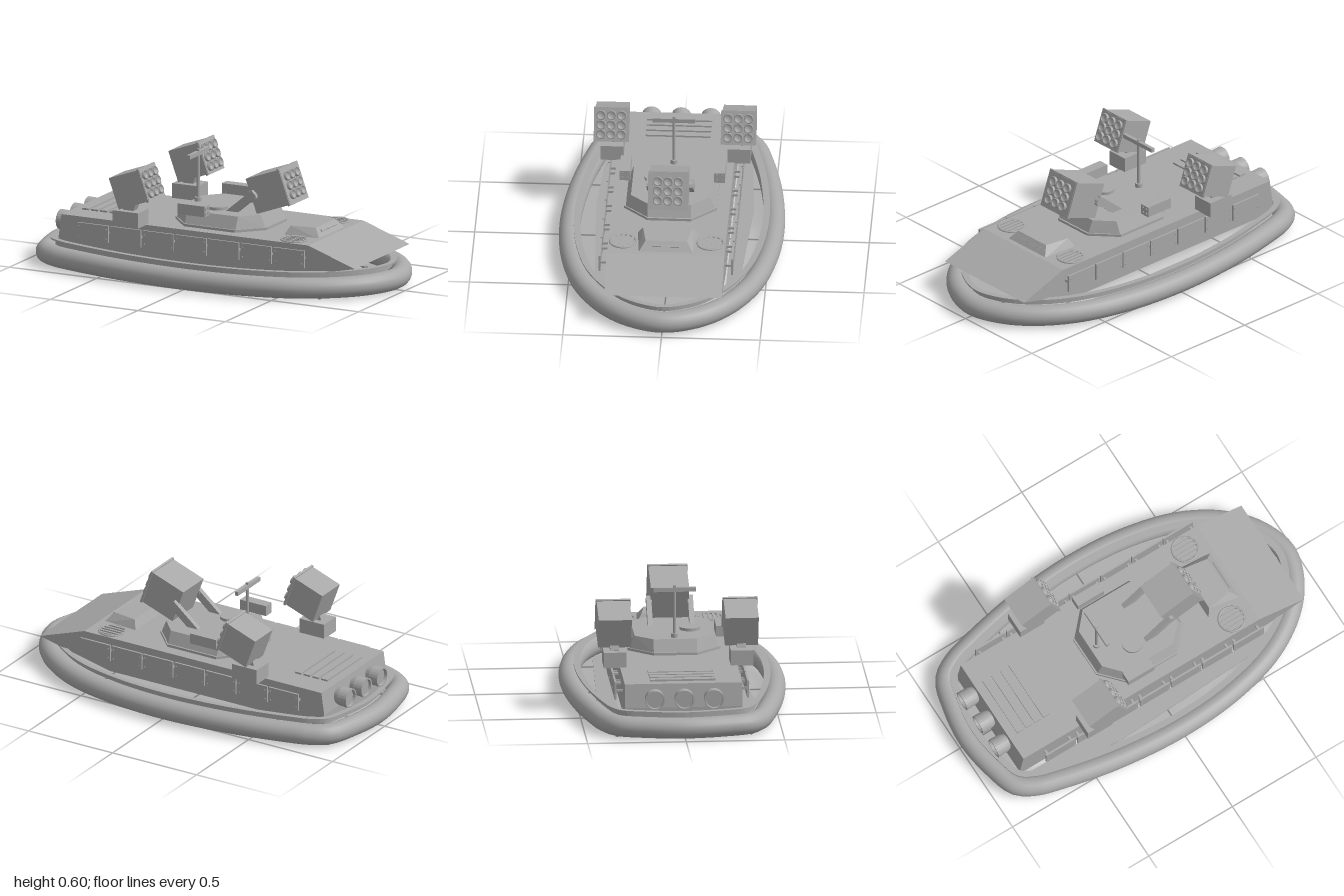
import * as THREE from 'three';
import { ConvexGeometry } from 'three/addons/geometries/ConvexGeometry.js';

const grey = new THREE.MeshStandardMaterial({ color: 0xa8a8a8 });
grey.name = 'hull grey';

function add(parent, name, geometry, x = 0, y = 0, z = 0) {
  const mesh = new THREE.Mesh(geometry, grey);
  mesh.name = name;
  mesh.position.set(x, y, z);
  parent.add(mesh);
  return mesh;
}
const box = (w, h, d) => new THREE.BoxGeometry(w, h, d);
const drum = (r, h, n = 20) => new THREE.CylinderGeometry(r, r, h, n);

// Solid between two outlines of [x, z] points at heights y0 and y1
const frustum = (low, high, y0, y1) => new ConvexGeometry([
  ...low.map(([x, z]) => new THREE.Vector3(x, y0, z)),
  ...high.map(([x, z]) => new THREE.Vector3(x, y1, z))]);

// Half of the skirt centreline, stern to bow, mirrored into a closed curve
const half = [[-0.947, 0], [-0.92, 0.2], [-0.875, 0.335], [-0.79, 0.392], [-0.7, 0.42], [-0.38, 0.487],
  [0, 0.517], [0.33, 0.49], [0.59, 0.417], [0.78, 0.3], [0.895, 0.165], [0.947, 0]];
const outline = [...half, ...half.slice(1, -1).reverse().map(([x, z]) => [x, -z])];
const skirtCurve = new THREE.CatmullRomCurve3(
  outline.map(([x, z]) => new THREE.Vector3(x, 0, z)), true, 'centripetal');

// Skirt outline moved inwards by d
function inset(d, n = 100) {
  return Array.from({ length: n }, (_, i) => {
    const p = skirtCurve.getPoint(i / n), t = skirtCurve.getTangent(i / n);
    return new THREE.Vector2(p.x + t.z * d, p.z - t.x * d);
  });
}

function ring(outer, inner, height) {
  const shape = new THREE.Shape(inset(outer));
  shape.holes.push(new THREE.Path(inset(inner)));
  return new THREE.ExtrudeGeometry(shape, { depth: height, bevelEnabled: false }).rotateX(-Math.PI / 2);
}

// Open tube along +x with a recessed bottom
function openTube(profile, segments) {
  const points = profile.map(([r, x]) => new THREE.Vector2(r, x));
  return new THREE.LatheGeometry(points, segments).toNonIndexed().rotateZ(-Math.PI / 2);
}

// Rocket box facing +x, tipped upwards, with nine tubes
function launcher(name, length, height, width) {
  const g = new THREE.Group();
  g.name = name;
  add(g, 'launcherBox', box(length, height, width));
  for (const s of [-1, 1]) {
    add(g, 'launcherRim', box(0.012, height + 0.008, 0.01), length / 2 - 0.008, 0, s * width / 2);
    add(g, 'launcherLip', box(0.012, 0.01, width + 0.01), length / 2 - 0.008, s * height / 2, 0);
  }
  const tube = openTube([[0.024, 0], [0.024, 0.012], [0.018, 0.012], [0.018, 0.003], [0, 0.003]], 18);
  for (const r of [-1, 0, 1])
    for (const c of [-1, 0, 1]) add(g, 'rocketTube', tube, length / 2, r * 0.049, c * 0.052);
  g.rotation.z = THREE.MathUtils.degToRad(20);
  return g;
}

export function createModel() {
  const model = new THREE.Group();
  model.name = 'hovercraft';

  // Air cushion skirt and its rails
  add(model, 'skirt', new THREE.TubeGeometry(skirtCurve, 140, 0.0535, 18, true), 0, 0.058, 0);
  add(model, 'skirtRail', ring(0.022, 0.05, 0.008), 0, 0.126, 0);
  add(model, 'skirtCollar', ring(0.046, 0.056, 0.03), 0, 0.097, 0);
  for (const [x, z] of [[0.94, 0], [0.7, 0.355], [0.7, -0.355], [-0.87, 0.34], [-0.87, -0.34]])
    add(model, 'skirtFoot', new THREE.CylinderGeometry(0.02, 0.008, 0.02, 8), x, 0.01, z);

  // Hull with wedge bow and a keel sunk between the skirt sides
  const profile = [[-0.825, 0.07], [0.45, 0.07], [0.87, 0.163], [0.605, 0.255], [-0.808, 0.255], [-0.825, 0.135]];
  add(model, 'hull', new ConvexGeometry(profile.flatMap(([x, y]) =>
    [-0.298, 0.298].map(z => new THREE.Vector3(x, y, z)))));

  for (const s of [-1, 1]) {
    // Low seal strip inside the skirt, ribbed underneath
    const seal = [[-0.82, 0.3], [0.68, 0.3], [0.64, 0.358], [-0.28, 0.4], [-0.8, 0.37]].map(([x, z]) => [x, s * z]);
    add(model, 'sealStrip', frustum(seal, seal, 0.01, 0.016));
    for (let i = 0; i < 24; i++)
      add(model, 'sealRib', box(0.012, 0.01, 0.055), -0.78 + i * 0.06, 0.006, s * 0.33);

    // Side armour panels on brackets
    for (let i = 0; i < 7; i++) {
      const x = -0.608 + i * 0.187;
      add(model, 'sidePanel', box(0.177, 0.09, 0.01), x, 0.19, s * 0.336);
      for (const e of [-1, 1]) {
        add(model, 'panelBracket', box(0.012, 0.012, 0.045), x + e * 0.07, 0.19, s * 0.315);
        for (const h of [0.165, 0.215])
          add(model, 'panelBolt', box(0.006, 0.006, 0.004), x + e * 0.077, h, s * 0.342);
      }
    }
  }

  // Stern thrusters
  for (const z of [-0.15, 0, 0.15]) {
    const thruster = openTube([[0.04, 0], [0.049, 0.03], [0.051, 0.083], [0.043, 0.083],
      [0.041, 0.068], [0, 0.068]], 24);
    thruster.computeVertexNormals();
    add(model, 'thruster', thruster, -0.81, 0.188, z).rotation.y = Math.PI;
  }

  // Deck grille, bow fans and driver's cowl
  for (let i = 0; i < 4; i++) add(model, 'grilleSlat', box(0.038, 0.01, 0.33), -0.742 + i * 0.052, 0.259, 0);
  for (const s of [-1, 1]) {
    const z = s * 0.222;
    add(model, 'fanRim', new THREE.TorusGeometry(0.066, 0.006, 6, 32).rotateX(Math.PI / 2), 0.485, 0.257, z);
    for (let i = -2; i <= 2; i++) {
      const w = 2 * Math.sqrt(0.066 ** 2 - (i * 0.024) ** 2);
      add(model, 'fanSlat', box(w, 0.008, 0.012), 0.485, 0.258, z + i * 0.024);
    }
  }
  add(model, 'cowl', frustum(
    [[0.388, -0.155], [0.585, -0.14], [0.585, 0.14], [0.388, 0.155]],
    [[0.412, -0.125], [0.545, -0.105], [0.545, 0.105], [0.412, 0.125]], 0.25, 0.299));
  add(model, 'visionSlit', box(0.008, 0.01, 0.16), 0.563, 0.28, 0).rotation.z = 0.73;

  // Turret: eight-sided base flange and sloped body
  const octagon = k => [[-0.255 + k, -0.11], [-0.14, -0.235 + k], [0.15, -0.235 + k], [0.268 - k, -0.11],
    [0.268 - k, 0.11], [0.15, 0.235 - k], [-0.14, 0.235 - k], [-0.255 + k, 0.11]];
  add(model, 'turretFlange', frustum(octagon(0), octagon(0), 0.25, 0.268));
  add(model, 'turret', frustum(octagon(0.008), octagon(0.035), 0.266, 0.331));
  add(model, 'hatch', drum(0.053, 0.016, 28), -0.025, 0.338, 0.088);

  // Smoke dischargers on both turret sides
  for (const s of [-1, 1]) {
    add(model, 'dischargerBox', box(0.155, 0.055, 0.055), -0.083, 0.352, s * 0.24);
    for (const a of [-1, 1])
      for (const b of [-1, 1])
        add(model, 'dischargerTube', drum(0.007, 0.004, 10).rotateZ(Math.PI / 2),
          -0.004, 0.352 + a * 0.013, s * 0.24 + b * 0.013);
  }

  // Sensor mast
  add(model, 'mastFoot', drum(0.018, 0.022, 14), -0.183, 0.341, 0);
  add(model, 'mast', drum(0.008, 0.25, 12), -0.183, 0.465, 0);
  add(model, 'mastBar', box(0.018, 0.022, 0.215), -0.183, 0.581, 0);
  add(model, 'mastCap', box(0.014, 0.01, 0.014), -0.183, 0.597, 0);

  // Main launcher on two arms
  const main = launcher('mainLauncher', 0.205, 0.187, 0.195);
  main.position.set(0.268, 0.452, 0);
  model.add(main);
  for (const s of [-1, 1]) {
    add(model, 'launcherArm', box(0.19, 0.042, 0.026), 0.125, 0.376, s * 0.106).rotation.z = 0.7;
    add(model, 'armPivot', drum(0.024, 0.028, 16).rotateX(Math.PI / 2), 0.185, 0.42, s * 0.104);
  }

  // Side launchers on pedestals
  for (const s of [-1, 1]) {
    const side = launcher('sideLauncher', 0.185, 0.167, 0.168);
    side.position.set(-0.365, 0.457, s * 0.322);
    model.add(side);
    add(model, 'pedestal', box(0.145, 0.08, 0.115), -0.4, 0.292, s * 0.322);
    add(model, 'pedestalNeck', box(0.06, 0.07, 0.045), -0.395, 0.358, s * 0.322).rotation.z = -0.35;
  }
  return model;
}
